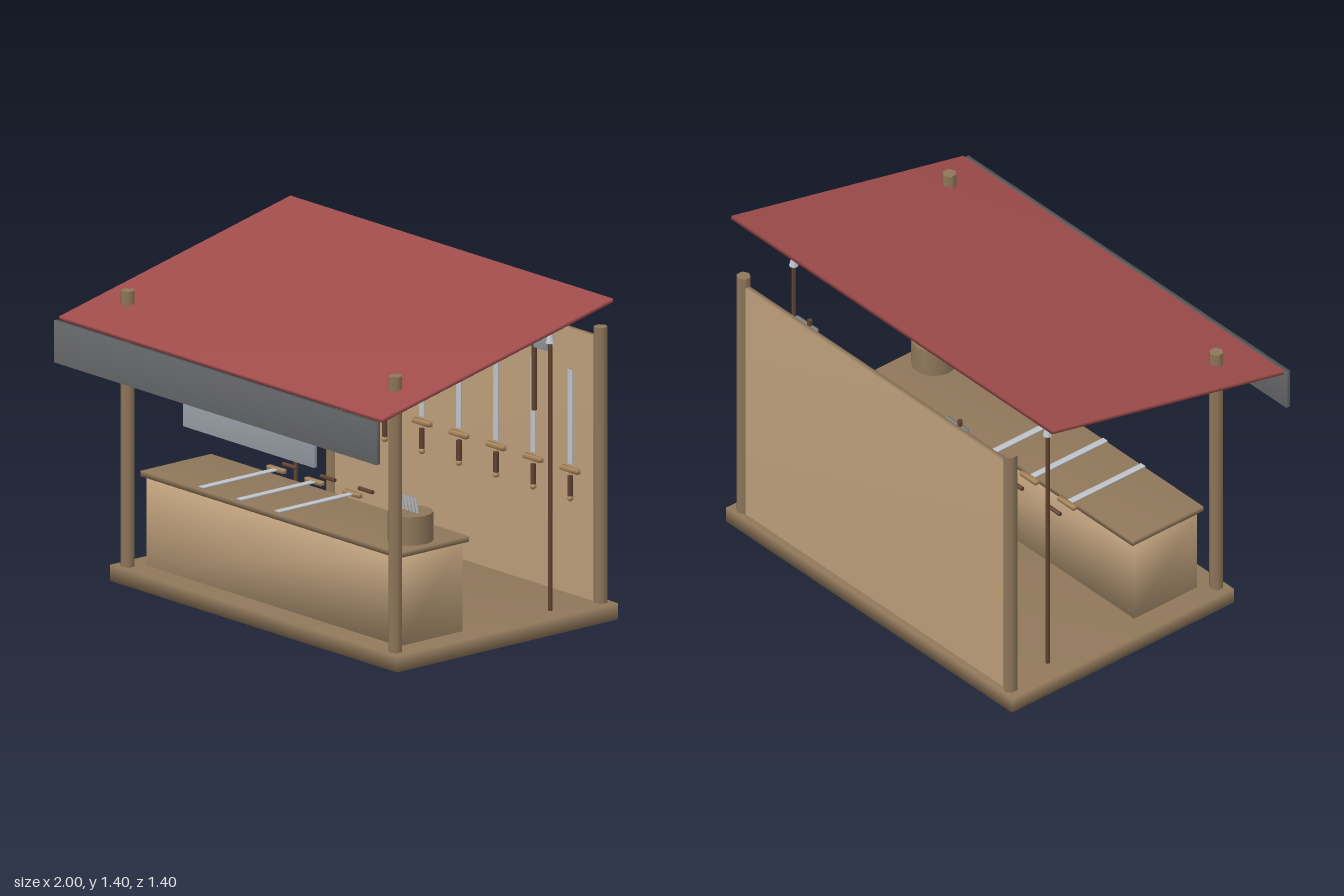
import * as THREE from 'three';
import { mergeVertices } from 'three/addons/utils/BufferGeometryUtils.js';

const mat = (name, color) => {
  const m = new THREE.MeshStandardMaterial({ color });
  m.name = name;
  return m;
};

const M = {
  timber: mat('timber', 0x8f775a),
  panel: mat('pale panel', 0xbc9e7a),
  roof: mat('red roof', 0xa04c4c),
  fascia: mat('dark grey fascia', 0x66676a),
  sign: mat('grey sign', 0x969da4),
  steel: mat('light steel', 0xc0c5cb),
  grip: mat('dark brown wood', 0x5f4230),
  brass: mat('tan fittings', 0xa9875c),
};

// Box with shared corners, so its shading runs softly over the edges
function softBox(w, h, d) {
  const g = new THREE.BoxGeometry(w, h, d);
  g.deleteAttribute('normal');
  g.deleteAttribute('uv');
  const merged = mergeVertices(g);
  merged.computeVertexNormals();
  return merged;
}

function add(parent, name, geometry, material, x = 0, y = 0, z = 0) {
  const mesh = new THREE.Mesh(geometry, material);
  mesh.name = name;
  mesh.position.set(x, y, z);
  parent.add(mesh);
  return mesh;
}

// Box given by its limits in y and z, centred on x
const slab = (parent, name, material, halfX, y0, y1, z0, z1) =>
  add(parent, name, softBox(halfX * 2, y1 - y0, z1 - z0), material, 0, (y0 + y1) / 2, (z0 + z1) / 2);

function group(parent, name, x = 0, y = 0, z = 0) {
  const g = new THREE.Group();
  g.name = name;
  g.position.set(x, y, z);
  parent.add(g);
  return g;
}

// Sword pointing up, with the guard at its origin
function hangingSword(parent, x, y, z) {
  const g = group(parent, 'hangingSword', x, y, z);
  add(g, 'blade', softBox(0.027, 0.4, 0.007), M.steel, 0, 0.225, 0);
  add(g, 'guard', softBox(0.107, 0.02, 0.02), M.brass);
  add(g, 'grip', new THREE.CylinderGeometry(0.0115, 0.0115, 0.086, 8), M.grip, 0, -0.068, 0);
  add(g, 'pommel', new THREE.SphereGeometry(0.014, 10, 8), M.brass, 0, -0.12, 0);
}

// Sword lying flat with its tip toward the front
function lyingSword(parent, x, y, z) {
  const g = group(parent, 'lyingSword', x, y, z);
  add(g, 'blade', softBox(0.027, 0.007, 0.4), M.steel, 0, 0, 0.208);
  add(g, 'guard', softBox(0.1, 0.018, 0.02), M.brass);
  const grip = add(g, 'grip', new THREE.CylinderGeometry(0.009, 0.009, 0.085, 8), M.grip, 0, 0, -0.073);
  grip.rotation.z = Math.PI / 2;
}

function hangingAxe(parent, x) {
  const g = group(parent, 'hangingAxe', x, 1, -0.612);
  add(g, 'handle', new THREE.CylinderGeometry(0.011, 0.011, 0.38, 8), M.grip);
  add(g, 'head', softBox(0.13, 0.085, 0.017), M.sign, 0.02, 0.122, 0);
}

function spear(parent, x) {
  const g = group(parent, 'spear', x, 0, -0.42);
  add(g, 'shaft', new THREE.CylinderGeometry(0.009, 0.009, 1.125, 8), M.grip, 0, 0.63, 0);
  add(g, 'spearTip', new THREE.ConeGeometry(0.02, 0.08, 8), M.steel, 0, 1.24, 0);
}

export function createModel() {
  const stall = new THREE.Group();
  stall.name = 'weaponStall';

  // Floor, back wall and corner posts
  slab(stall, 'floor', M.timber, 0.89, 0, 0.068, -0.698, 0.493);
  slab(stall, 'backWall', M.panel, 0.81, 0.068, 1.19, -0.667, -0.643);
  for (const x of [-0.83, 0.83]) {
    for (const z of [-0.655, 0.45]) {
      add(stall, 'post', new THREE.CylinderGeometry(0.03, 0.03, 1.167, 6), M.timber, x, 0.6515, z);
    }
  }

  // Sloping roof with its fascia and the hanging sign
  const roof = add(stall, 'roof', softBox(2, 0.016, 1.275), M.roof, 0, 1.259, 0.047);
  roof.rotation.x = 0.218;
  slab(stall, 'fascia', M.fascia, 1, 0.94, 1.118, 0.68, 0.7);
  slab(stall, 'sign', M.sign, 0.405, 0.765, 0.942, 0.501, 0.52);

  // Counter
  slab(stall, 'counterBody', M.panel, 0.785, 0.068, 0.446, 0.048, 0.387);
  slab(stall, 'counterTop', M.timber, 0.8, 0.446, 0.469, 0.027, 0.407);
  for (let i = 0; i < 3; i++) lyingSword(stall, -0.43 + i * 0.235, 0.478, -0.005);

  // Barrel holding thin leaning blades
  const barrel = group(stall, 'barrel', 0.68, 0.469, 0.238);
  add(barrel, 'barrelBody', new THREE.CylinderGeometry(0.093, 0.093, 0.12, 16), M.timber, 0, 0.06, 0);
  for (let i = -2; i <= 2; i++) {
    const rod = add(barrel, 'rod', softBox(0.012, 0.12, 0.005), M.steel, i * 0.022, 0.132, 0.002);
    rod.rotation.x = 0.2;
  }

  // Weapons on the wall and beside it
  for (let i = -3; i <= 3; i++) hangingSword(stall, i * 0.23, 0.606, -0.613);
  for (const x of [-0.467, 0.467]) hangingAxe(stall, x);
  for (const x of [-0.79, 0.79]) spear(stall, x);

  return stall;
}
